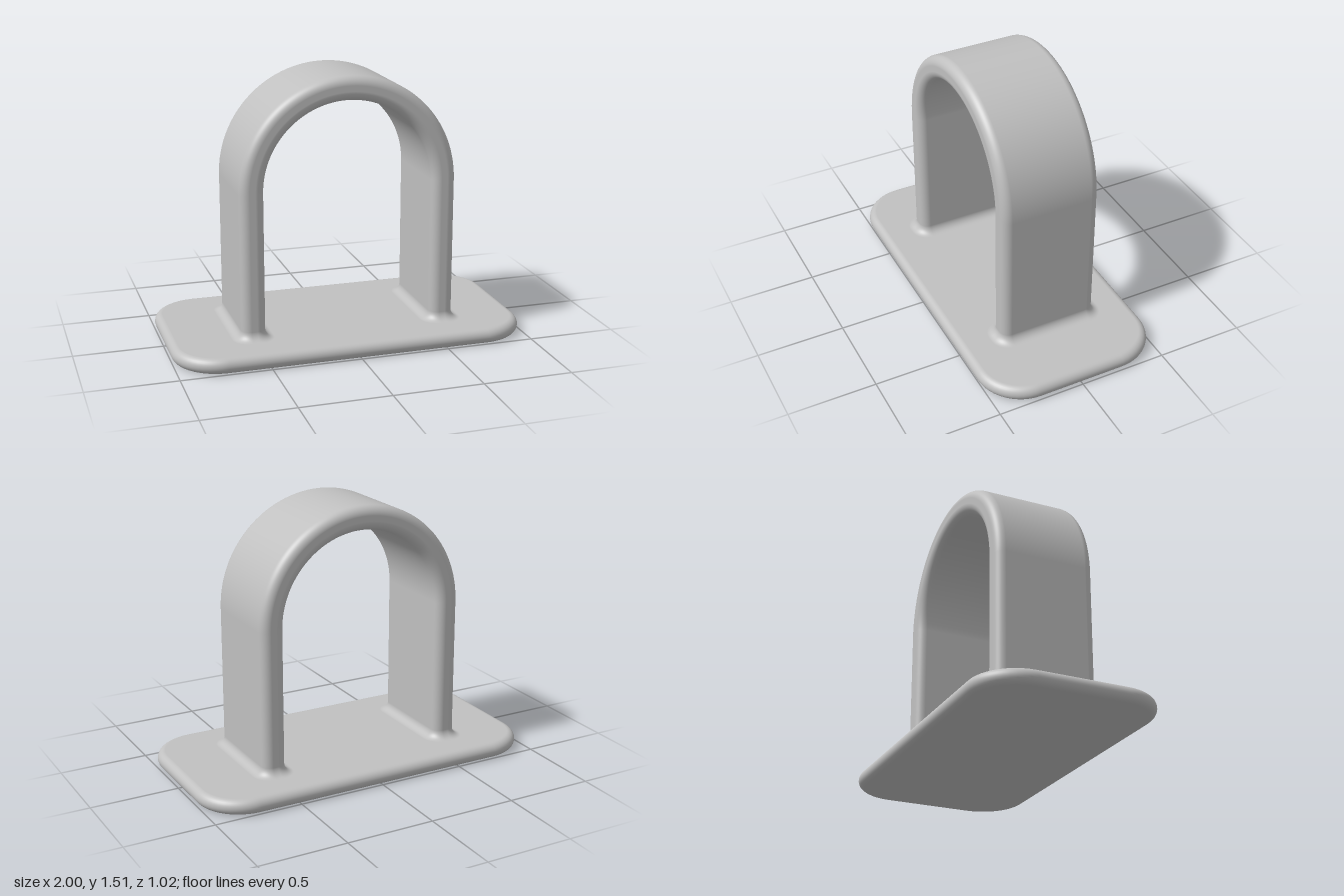
import * as THREE from 'three';

// Rounded rectangle outline: points (u, v) with outward normals (nu, nv)
function roundedRect(hu, hv, r, steps = 12) {
  const pts = [];
  const signs = [[1, 1], [-1, 1], [-1, -1], [1, -1]];
  signs.forEach(([su, sv], q) => {
    for (let k = 0; k <= steps; k++) {
      const a = (q + k / steps) * Math.PI / 2;
      const nu = Math.cos(a), nv = Math.sin(a);
      pts.push({ u: su * (hu - r) + r * nu, v: sv * (hv - r) + r * nv, nu, nv });
    }
  });
  return pts;
}

// Smooth skin through rings of { p, n } vectors
function loft(rings) {
  const pos = [], nor = [], index = [], count = rings[0].length;
  rings.forEach((ring, i) => ring.forEach(({ p, n }, j) => {
    pos.push(...p.toArray());
    nor.push(...n.normalize().toArray());
    if (i === rings.length - 1) return;
    const k = (j + 1) % count;
    const a = i * count + j, b = i * count + k;
    index.push(a, a + count, b + count, a, b + count, b);
  }));
  const g = new THREE.BufferGeometry();
  g.setAttribute('position', new THREE.Float32BufferAttribute(pos, 3));
  g.setAttribute('normal', new THREE.Float32BufferAttribute(nor, 3));
  g.setIndex(index);
  return g;
}

const BASE = { hx: 1, hz: 0.51, corner: 0.26, edge: 0.0435 };
const ARCH = { radius: 0.544, half: 0.068, hz: 0.285, edge: 0.052, springY: 0.903, fillet: 0.05 };

// Flat plate with a fully rounded rim
function basePlate() {
  const { hx, hz, corner, edge } = BASE;
  const ring = (inset, y, c, s) => roundedRect(hx - inset, hz - inset, corner - inset).map(q => ({
    p: new THREE.Vector3(q.u, y, q.v),
    n: new THREE.Vector3(q.nu * c, s, q.nv * c),
  }));
  const centre = (y, s) => ring(0, y, 0, s).map(({ n }) => ({ p: new THREE.Vector3(0, y, 0), n }));
  const rings = [centre(0, -1)];
  for (let i = 0; i <= 16; i++) {
    const a = (i / 16 - 0.5) * Math.PI;
    rings.push(ring(edge * (1 - Math.cos(a)), edge * (1 + Math.sin(a)), Math.cos(a), Math.sin(a)));
  }
  rings.push(centre(2 * edge, 1));
  return loft(rings);
}

// Wide band swept up one leg, over the half circle and down the other, with filleted feet
function archBand() {
  const { radius, half, hz, edge, springY, fillet } = ARCH;
  const top = 2 * BASE.edge;
  const ring = (x, y, theta, grow, c, s) => {
    const ex = Math.cos(theta), ey = Math.sin(theta);
    return roundedRect(half + grow, hz + grow, edge + grow).map(q => ({
      p: new THREE.Vector3(x + ex * q.u, y + ey * q.u, q.v),
      n: new THREE.Vector3(ex * q.nu * c, ey * q.nu * c + s, q.nv * c),
    }));
  };
  const foot = side => {
    const rings = [];
    for (let i = 0; i <= 10; i++) {
      const a = (1 - i / 10) * Math.PI / 2;
      const c = Math.cos(a), s = Math.sin(a);
      rings.push(ring(side * radius, top + fillet * (1 - s), side > 0 ? 0 : Math.PI, fillet * (1 - c), c, s));
    }
    return rings;
  };
  const bend = [];
  for (let i = 0; i <= 64; i++) {
    const t = i / 64 * Math.PI;
    bend.push(ring(radius * Math.cos(t), springY + radius * Math.sin(t), t, 0, 1, 0));
  }
  return loft([...foot(1), ...bend, ...foot(-1).reverse()]);
}

export function createModel() {
  const group = new THREE.Group();
  group.name = 'archOnPlate';
  const grey = new THREE.MeshStandardMaterial({ color: 0xc0c0c0 });
  grey.name = 'light grey';
  const add = (name, geometry) => {
    const mesh = new THREE.Mesh(geometry, grey);
    mesh.name = name;
    group.add(mesh);
  };
  add('basePlate', basePlate());
  add('archBand', archBand());
  return group;
}
